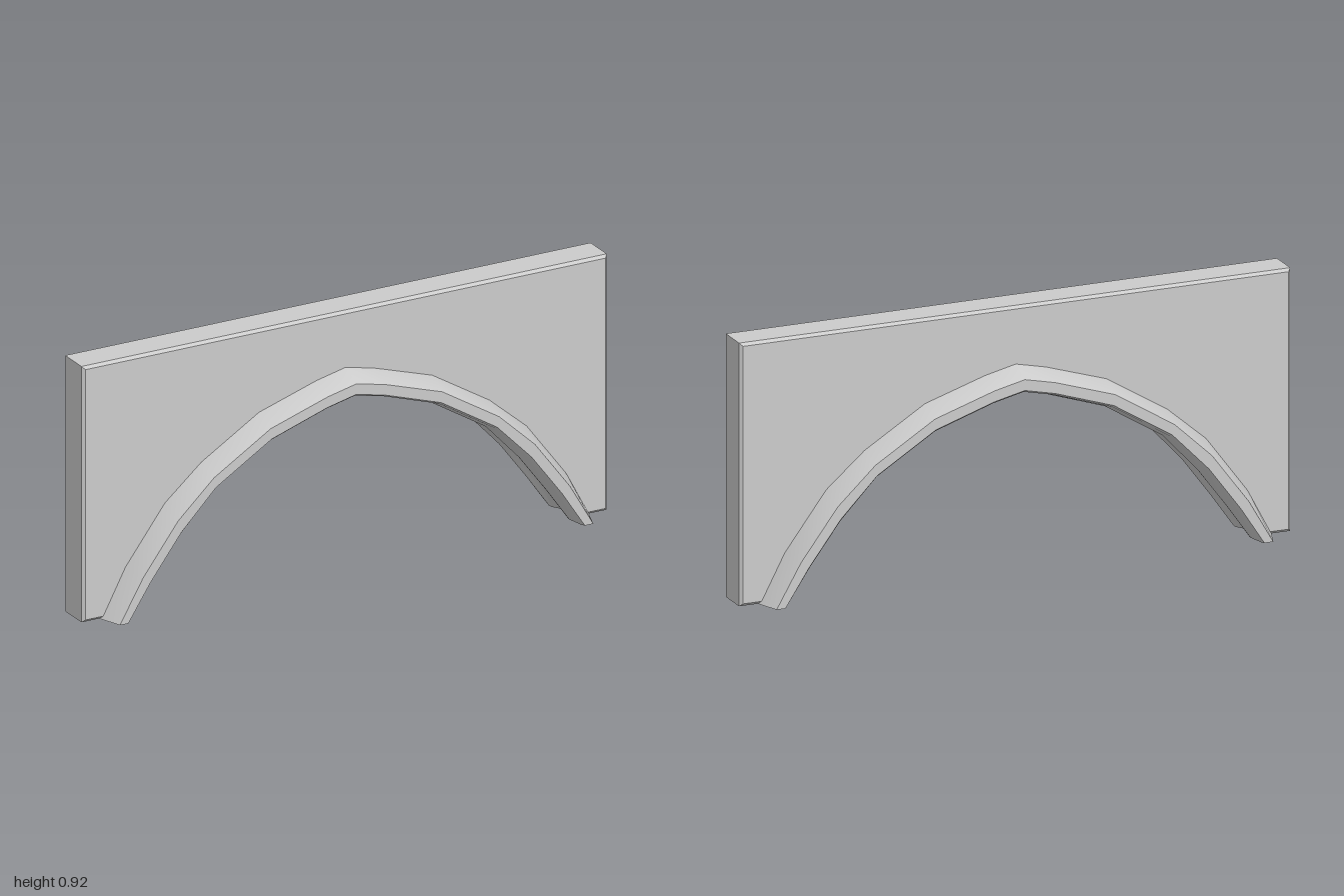
import * as THREE from 'three';
import { toCreasedNormals } from 'three/addons/utils/BufferGeometryUtils.js';

// Half arch from the +x foot to the crown: outer and inner edge of the rib
const OUTER = [[0.93, 0], [0.84, 0.17], [0.69, 0.37], [0.55, 0.49], [0.33, 0.625], [0.11, 0.695], [0, 0.72]];
const INNER = [[0.85, 0], [0.765, 0.12], [0.66, 0.26], [0.53, 0.4], [0.32, 0.53], [0.11, 0.6], [0, 0.625]];

// Half rib section: [z, t], t running from the outer edge (0) to the inner edge (1)
const SECTION = [[0.06, 0], [0.14, 0.36], [0.14, 0.76], [0.13, 0.84], [0.07, 1], [0.055, 0.98], [0.025, 0.72], [0, 0.66]];

const mirror = (pts) => [...pts, ...pts.slice(0, -1).reverse().map(([a, b]) => [-a, b])];

function archLine(t) {
  return mirror(OUTER.map(([x, y], i) => [
    THREE.MathUtils.lerp(x, INNER[i][0], t),
    THREE.MathUtils.lerp(y, INNER[i][1], t),
  ]));
}

// Wall panel with the arch cut out, edges slightly bevelled
function wallGeometry() {
  const outline = [[-1, 0], [-1, 0.92], [1, 0.92], [1, 0], ...archLine(0.4)];
  const shape = new THREE.Shape(outline.map(([x, y]) => new THREE.Vector2(x, y)));
  const b = 0.01;
  const geo = new THREE.ExtrudeGeometry(shape, {
    depth: 0.13 - 2 * b, bevelThickness: b, bevelSize: b, bevelOffset: -b, bevelSegments: 1,
  });
  geo.translate(0, 0, -0.065 + b);
  return geo;
}

// Moulded rib: the section swept along the arch, closed at both feet
function ribGeometry() {
  const section = mirror(SECTION);
  const lines = section.map(([, t]) => archLine(t));
  const n = section.length;
  const rings = lines[0].length;
  const pos = [];
  const idx = [];
  for (let i = 0; i < rings; i++) {
    section.forEach(([z], j) => pos.push(...lines[j][i], z));
  }
  for (let i = 0; i < rings - 1; i++) {
    for (let j = 0; j < n; j++) {
      const k = (j + 1) % n;
      const a = i * n + j, b = i * n + k, c = a + n, d = b + n;
      idx.push(a, c, b, b, c, d);
    }
  }
  // Foot caps, fanned from the middle of the section
  const mid = archLine(0.45);
  for (const ring of [0, rings - 1]) {
    const centre = pos.length / 3;
    pos.push(...mid[ring], 0);
    for (let j = 0; j < n; j++) {
      const a = ring * n + j, b = ring * n + (j + 1) % n;
      idx.push(centre, ...(ring === 0 ? [a, b] : [b, a]));
    }
  }
  const geo = new THREE.BufferGeometry();
  geo.setAttribute('position', new THREE.Float32BufferAttribute(pos, 3));
  geo.setIndex(idx);
  return toCreasedNormals(geo, 0.5);
}

export function createModel() {
  const material = new THREE.MeshStandardMaterial({ color: 0xcccccc });
  const model = new THREE.Group();
  model.name = 'archWall';
  const add = (name, geometry) => {
    const mesh = new THREE.Mesh(geometry, material);
    mesh.name = name;
    model.add(mesh);
  };
  add('wallPanel', wallGeometry());
  add('archRib', ribGeometry());
  return model;
}
